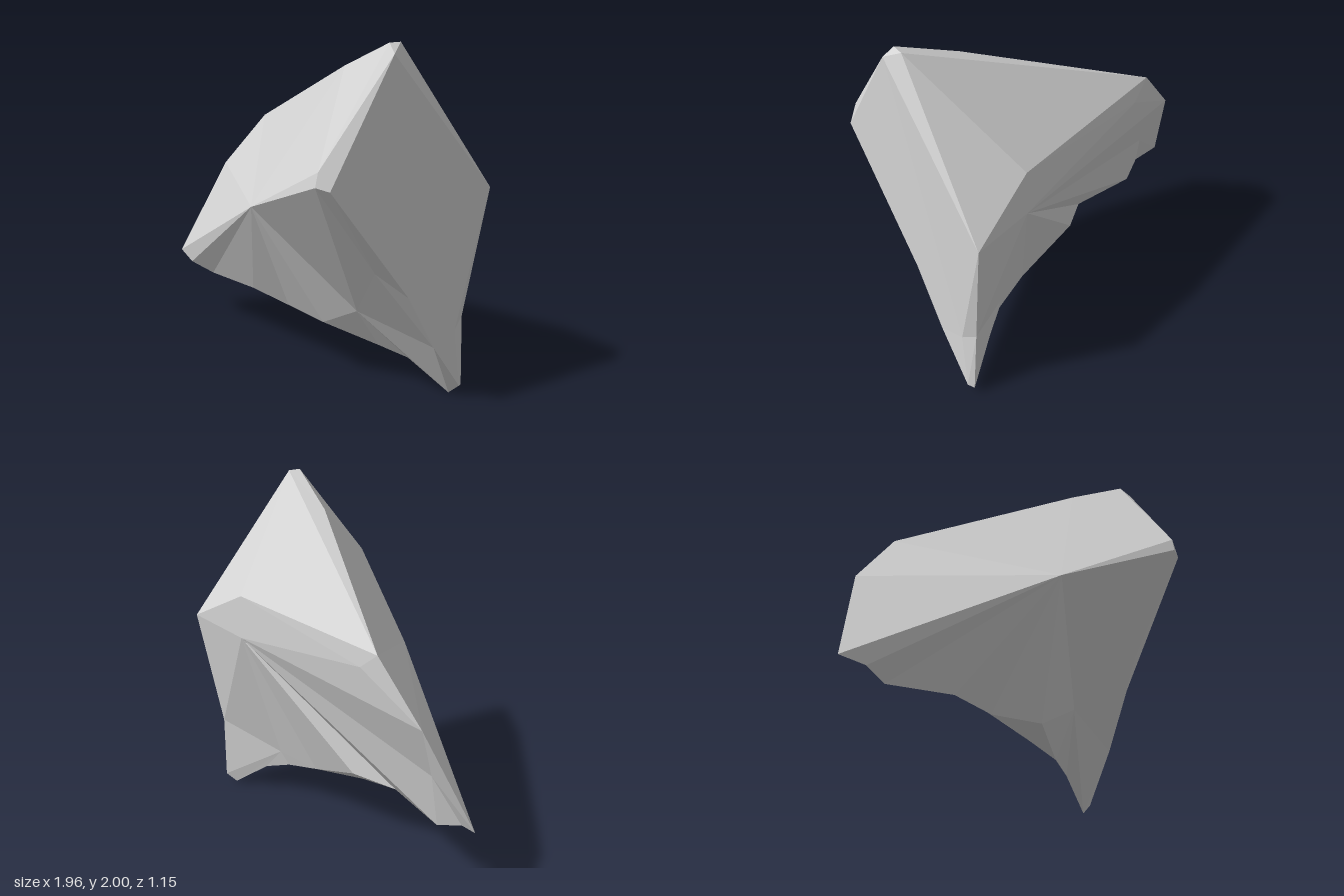
import * as THREE from 'three';

// Corner points of the shard
const P = {
  // left tip and crest
  tip: [-0.98, 0.43, 0.13], shoulder: [-0.8, 1.01, -0.1], crest: [-0.52, 1.35, -0.2],
  crestMid: [0.555, 1.835, 0.09], peakF: [0.917, 2, 0.12], peakB: [0.922, 1.998, 0.05], peakR: [0.975, 1.955, 0.138],
  // front ridge
  ridge: [0.2, 1.06, 0.43], brow: [0.917, 1.355, 0.575], browTop: [0.92, 1.43, 0.56], browR: [0.98, 1.34, 0.535],
  // back ledge
  backR: [0.98, 1.17, -0.575], ledge: [0.575, 1.39, -0.46], ledgeL: [-0.4, 1.25, -0.235], hollow: [0.58, 1.13, -0.465],
  // edge of the right cut and the foot
  cutA: [0.917, 0.83, 0.18], cutB: [0.98, 0.675, 0], cutC: [0.98, 0.345, -0.195],
  footR: [0.98, 0.06, -0.405], footB: [0.96, 0.05, -0.44], foot: [0.917, 0, -0.39],
  heel: [0.968, 0.4, -0.365], heelB: [0.935, 0.45, -0.45],
  // lower front and underside
  dent: [0.58, 0.475, 0], notch: [0.33, 0.335, 0.03],
  low1: [-0.83, 0.395, 0.15], low2: [-0.69, 0.345, 0.085], low3: [-0.27, 0.37, 0.08], low4: [0, 0.33, 0.02],
  low5: [0.34, 0.275, -0.11], low6: [0.57, 0.22, -0.18], low7: [0.71, 0.17, -0.27],
  flank: [-0.72, 0.68, 0.02], spur: [0.6, 0.31, -0.22], knob: [-0.06, 0.42, -0.08],
};

// Facets: each entry is a fan, its centre first and then its rim
const FANS = [
  // front, radiating from the ridge
  'ridge brow browTop crestMid crest shoulder tip low1 low2 low3 low4 notch dent brow',
  'dent notch low6 low7 foot cutC cutA brow',
  'notch low4 low5 low6',
  // bevel beside the right cut
  'cutA browR brow', 'cutA cutB browR', 'cutA cutC cutB', 'cutC foot footR',
  'browTop brow browR peakR peakF crestMid',
  // narrow top
  'peakB crest crestMid peakF peakR',
  // right cut and heel
  'peakR browR cutB cutC heel backR peakB', 'cutC footR heel',
  'heelB backR heel footR footB', 'footR foot footB',
  // back slope and ledge
  'ledge crest peakB backR hollow ledgeL crest', 'crest ledgeL shoulder',
  // back, radiating from the hollow
  'hollow backR heelB spur low5 knob low3 low2 flank shoulder ledgeL',
  'knob low5 low4 low3',
  'flank low2 low1 tip shoulder',
  'spur heelB footB foot low7 low6 low5',
];

export function createModel() {
  const stone = new THREE.MeshStandardMaterial({ color: 0xd4d4d4 });
  stone.name = 'pale grey stone';

  // separate corners per triangle keep every facet flat
  const positions = [];
  for (const fan of FANS) {
    const [centre, ...rim] = fan.split(' ');
    for (let i = 0; i < rim.length - 1; i++) {
      positions.push(...P[centre], ...P[rim[i]], ...P[rim[i + 1]]);
    }
  }
  const geometry = new THREE.BufferGeometry();
  geometry.setAttribute('position', new THREE.Float32BufferAttribute(positions, 3));
  geometry.computeVertexNormals();

  const rock = new THREE.Mesh(geometry, stone);
  rock.name = 'rockShard';
  const group = new THREE.Group();
  group.name = 'rock';
  group.add(rock);
  return group;
}
